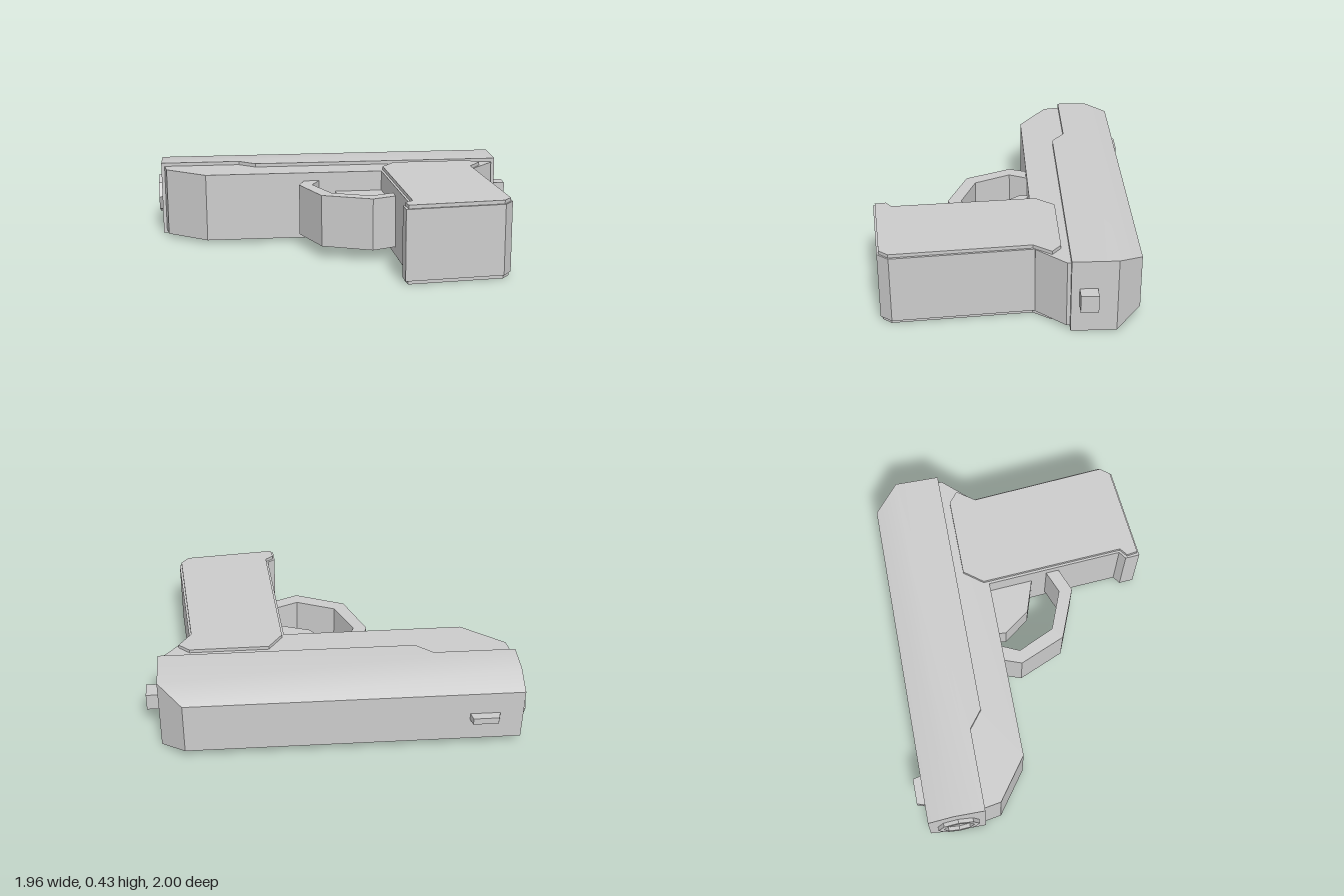
import * as THREE from 'three';
import { mergeGeometries, toCreasedNormals } from 'three/addons/utils/BufferGeometryUtils.js';

const material = new THREE.MeshStandardMaterial({ color: 0xcccccc, flatShading: false });

// Flat plate: an outline in (x, z), extruded evenly above and below y = 0
function plate(points, half) {
  const shape = new THREE.Shape(points.map(([x, z]) => new THREE.Vector2(x, -z)));
  const geometry = new THREE.ExtrudeGeometry(shape, { depth: 2 * half, bevelEnabled: false });
  return geometry.translate(0, 0, -half).rotateX(-Math.PI / 2);
}

function add(parent, name, geometry) {
  const mesh = new THREE.Mesh(geometry, material);
  mesh.name = name;
  parent.add(mesh);
  return mesh;
}

// Slide: straight lower body plus an upper band that narrows towards the top
function slideGeometry() {
  const lower = plate([[0, 0.14], [2, 0.14], [2, 0.39], [0.557, 0.39], [0.46, 0.315], [0, 0.315]], 0.215);
  const upper = plate([[0, 0], [1.866, 0], [2, 0.14], [0, 0.14]], 0.215);
  const p = upper.attributes.position;
  for (let i = 0; i < p.count; i++) {
    if (p.getZ(i) < 0.01) p.setY(i, p.getY(i) * 0.72);
  }
  return toCreasedNormals(mergeGeometries([lower, upper]), 0.5);
}

// Octagonal ring around the bore
function muzzleGeometry() {
  const octagon = (r) => Array.from({ length: 8 }, (_, i) =>
    new THREE.Vector2(r * Math.cos(i * Math.PI / 4), r * Math.sin(i * Math.PI / 4)));
  const ring = new THREE.Shape(octagon(0.115));
  ring.holes.push(new THREE.Path(octagon(0.085)));
  return new THREE.ExtrudeGeometry(ring, { depth: 0.03, bevelEnabled: false })
    .rotateY(-Math.PI / 2).translate(0.008, 0, 0.163);
}

export function createModel() {
  const model = new THREE.Group();
  model.name = 'pistol';
  const body = new THREE.Group();
  body.name = 'body';
  body.position.y = 0.215;
  model.add(body);

  // Upper assembly, built along x and turned to its resting angle
  const upper = new THREE.Group();
  upper.name = 'upperAssembly';
  upper.position.set(-0.85, 0, -1);
  upper.rotation.y = -0.384;
  body.add(upper);

  add(upper, 'slide', slideGeometry());
  add(upper, 'muzzleRing', muzzleGeometry());
  add(upper, 'frontSight', plate([[0.125, 0.01], [0.143, -0.046], [0.284, -0.046], [0.297, 0.01]], 0.02));
  add(upper, 'hammer', new THREE.BoxGeometry(0.12, 0.1, 0.097).translate(2.015, 0, 0.297));
  add(upper, 'frame', plate([
    [0.015, 0.29], [0.035, 0.407], [0.266, 0.575], [1.83, 0.57], [1.975, 0.41], [1.975, 0.37],
    [0.58, 0.37], [0.48, 0.29],
  ], 0.195));

  // Grip core with a raised panel across both sides
  add(body, 'grip', plate([
    [0.13, 0.01], [-0.11, 0.75], [-0.16, 0.762], [-0.185, 0.84],
    [0.33, 0.995], [0.4, 0.955], [0.63, 0.21], [0.6, 0.17], [0.16, -0.005],
  ], 0.195));
  add(body, 'gripPanels', plate([
    [0.152, -0.012], [0.265, -0.08], [0.68, 0.085], [0.717, 0.155], [0.615, 0.22],
    [0.388, 0.952], [0.33, 0.984], [-0.167, 0.835], [-0.153, 0.775], [-0.1, 0.76],
  ], 0.215));

  // Trigger and its guard
  add(body, 'triggerGuard', plate([
    [-0.28, -0.17], [-0.36, -0.08], [-0.355, 0.2], [-0.14, 0.405], [0.02, 0.405], [0.04, 0.335],
    [-0.11, 0.335], [-0.28, 0.175], [-0.29, -0.05], [-0.2, -0.135],
  ], 0.147));
  add(body, 'trigger', plate([
    [-0.115, -0.1], [-0.14, -0.045], [-0.095, 0.13], [0.06, 0.26], [0.15, 0.0],
  ], 0.08));

  return model;
}
